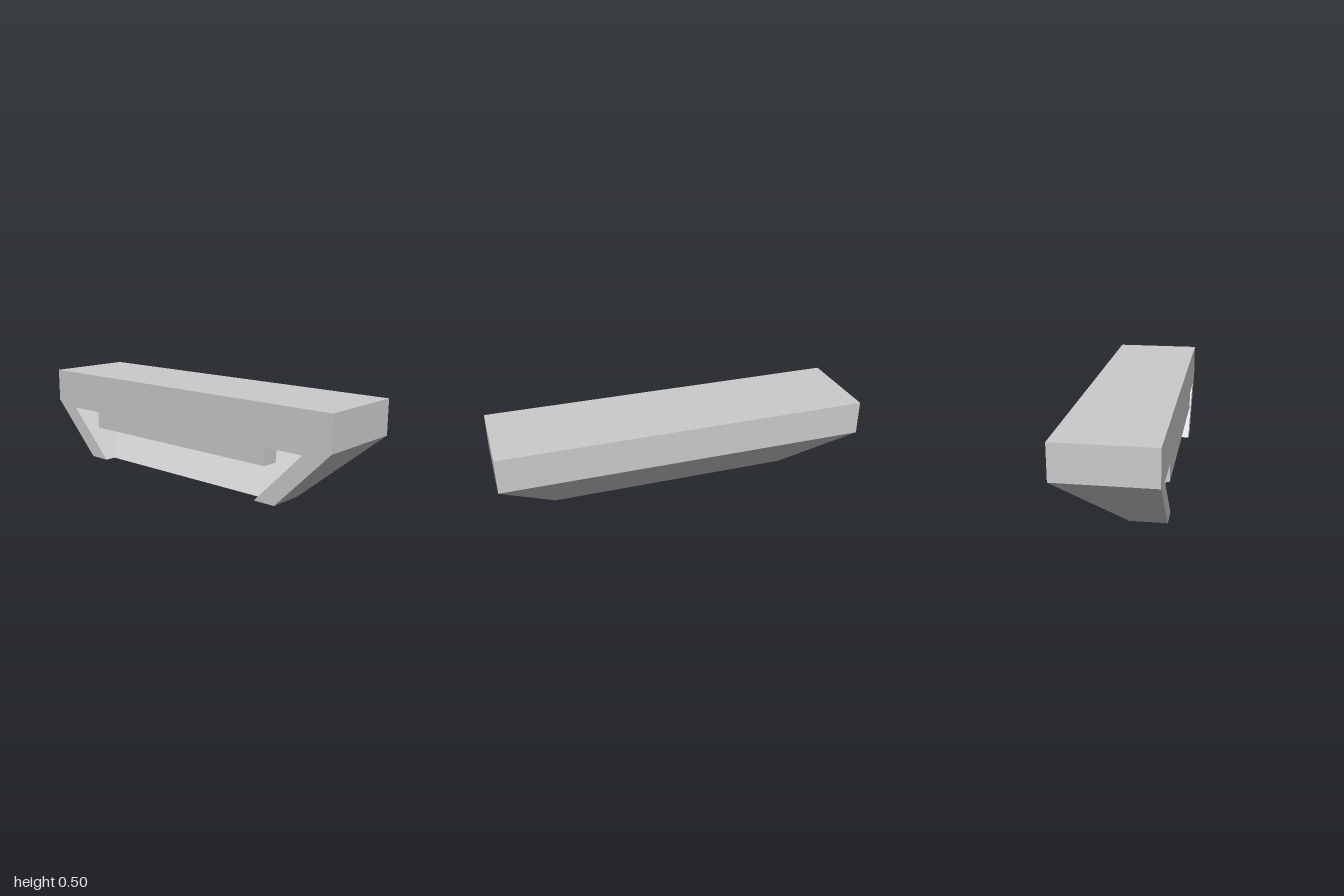
import * as THREE from 'three';
import { mergeGeometries } from 'three/addons/utils/BufferGeometryUtils.js';

const FRONT = 0.25, BACK = -0.25, TOP = 0.5;
const EAVE = 0.3125;                       // height where the chamfers start
const FOOT = 0.6875, FOOT_BACK = 0.0625;   // underside half width and rear edge
const IN_FOOT = 0.5625, IN_BACK = 0.1875;  // recess at the underside
const ROOF = 0.28125;                      // recess height
const IN_TOP = IN_FOOT + ROOF, IN_TOP_BACK = IN_BACK - ROOF;
const LIP = 0.625, LIP_Y = 0.1875, LIP_BACK = 0.15625;

// Flat quad turned so that it faces the given direction
function quad(facing, ...corners) {
  const p = corners.map((c) => new THREE.Vector3(...c));
  const n = p[1].clone().sub(p[0]).cross(p[2].clone().sub(p[0]));
  if (n.dot(new THREE.Vector3(...facing)) < 0) p.reverse();
  const g = new THREE.BufferGeometry().setFromPoints([p[0], p[1], p[2], p[0], p[2], p[3]]);
  g.computeVertexNormals();
  return g;
}

// Flat outline, mirrored across x from its +x half
function outline(half) {
  const pts = [...half, ...half.map(([x, y]) => [-x, y]).reverse()];
  const g = new THREE.ShapeGeometry(new THREE.Shape(pts.map((p) => new THREE.Vector2(...p)))).toNonIndexed();
  g.deleteAttribute('uv');
  return g;
}

// Downward-facing U: a wide plate notched from the front
const notchedPlate = (half, back, notch, notchBack, y) =>
  outline([[half, back], [half, FRONT], [notch, FRONT], [notch, notchBack]])
    .rotateX(Math.PI / 2).translate(0, y, 0);

export function createModel() {
  const group = new THREE.Group();
  const material = new THREE.MeshStandardMaterial({ color: 0xcccccc, flatShading: true });
  const add = (name, parts) => {
    const mesh = new THREE.Mesh(mergeGeometries(parts), material);
    mesh.name = name;
    group.add(mesh);
  };
  const sides = [-1, 1];

  // Front face with the recess opening cut out
  add('frontFace', [outline([
    [LIP, LIP_Y], [LIP, ROOF], [IN_TOP, ROOF], [IN_FOOT, 0], [FOOT, 0], [1, EAVE], [1, TOP],
  ]).translate(0, 0, FRONT)]);

  // Upright block: top, back and ends
  add('upperBody', [
    quad([0, 1, 0], [-1, TOP, FRONT], [1, TOP, FRONT], [1, TOP, BACK], [-1, TOP, BACK]),
    quad([0, 0, -1], [-1, EAVE, BACK], [1, EAVE, BACK], [1, TOP, BACK], [-1, TOP, BACK]),
    ...sides.map((s) => quad([s, 0, 0], [s, EAVE, FRONT], [s, EAVE, BACK], [s, TOP, BACK], [s, TOP, FRONT])),
  ]);

  // Sloping back and ends below the block
  add('chamfers', [
    quad([0, -1, -1], [-1, EAVE, BACK], [1, EAVE, BACK], [FOOT, 0, FOOT_BACK], [-FOOT, 0, FOOT_BACK]),
    ...sides.map((s) => quad([s, -1, 0],
      [s, EAVE, FRONT], [s, EAVE, BACK], [s * FOOT, 0, FOOT_BACK], [s * FOOT, 0, FRONT])),
  ]);

  // Underside strip with a tab at each end
  add('underside', [notchedPlate(FOOT, FOOT_BACK, IN_FOOT, IN_BACK, 0)]);

  // Recess: sloping rear wall, sloping ends and roof
  add('recess', [
    quad([0, 1, 1], [-IN_FOOT, 0, IN_BACK], [IN_FOOT, 0, IN_BACK],
      [IN_TOP, ROOF, IN_TOP_BACK], [-IN_TOP, ROOF, IN_TOP_BACK]),
    ...sides.map((s) => quad([-s, 1, 0], [s * IN_FOOT, 0, FRONT], [s * IN_FOOT, 0, IN_BACK],
      [s * IN_TOP, ROOF, IN_TOP_BACK], [s * IN_TOP, ROOF, FRONT])),
    notchedPlate(IN_TOP, IN_TOP_BACK, LIP, LIP_BACK, ROOF),
  ]);

  // Lip hanging over the recess
  add('frontLip', [
    quad([0, -1, 0], [-LIP, LIP_Y, FRONT], [LIP, LIP_Y, FRONT], [LIP, LIP_Y, LIP_BACK], [-LIP, LIP_Y, LIP_BACK]),
    quad([0, 0, -1], [-LIP, LIP_Y, LIP_BACK], [LIP, LIP_Y, LIP_BACK], [LIP, ROOF, LIP_BACK], [-LIP, ROOF, LIP_BACK]),
    ...sides.map((s) => quad([s, 0, 0], [s * LIP, LIP_Y, FRONT], [s * LIP, LIP_Y, LIP_BACK],
      [s * LIP, ROOF, LIP_BACK], [s * LIP, ROOF, FRONT])),
  ]);

  return group;
}
